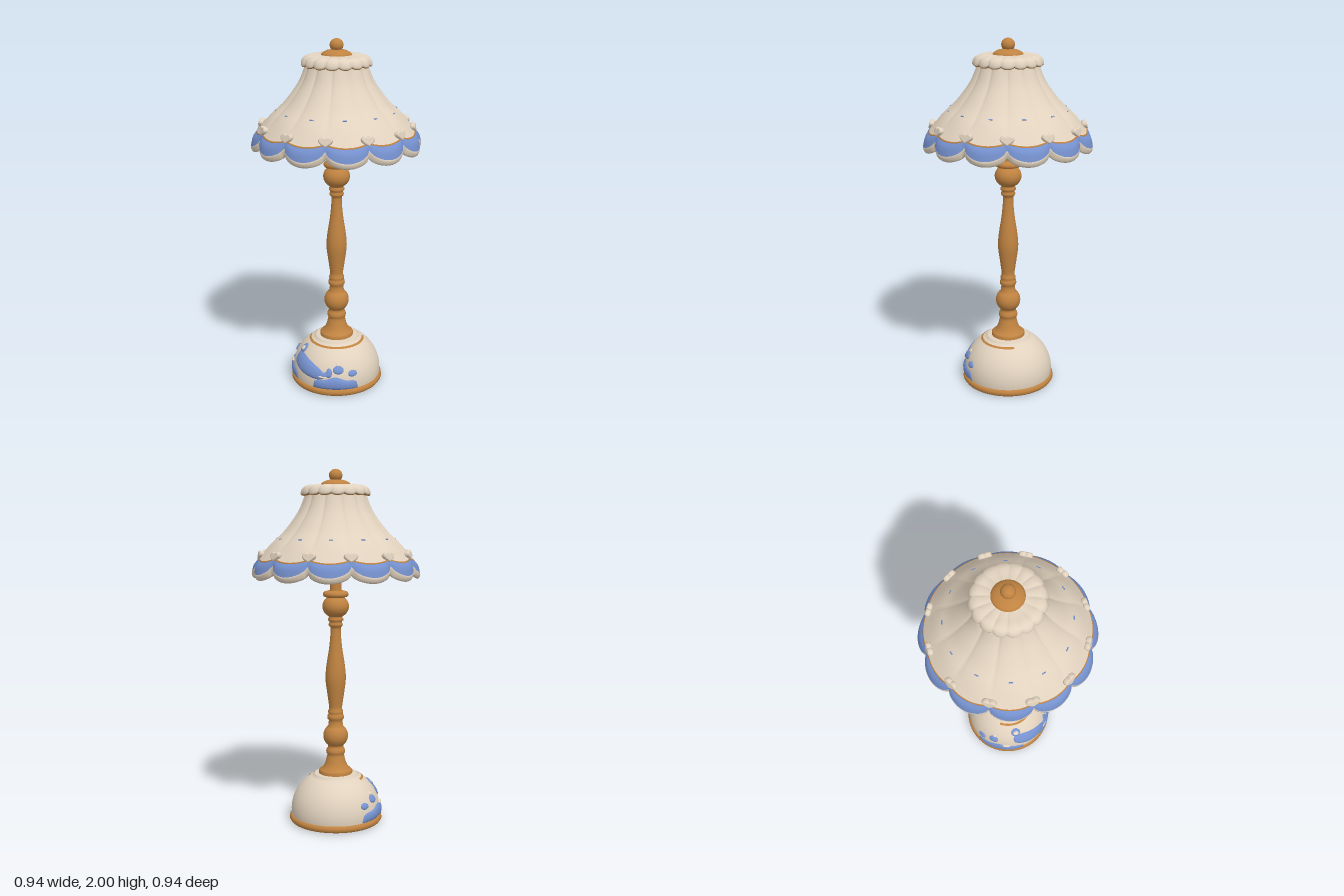
import * as THREE from 'three';

const paint = (name, color) => {
  const m = new THREE.MeshStandardMaterial({ color, side: THREE.DoubleSide });
  m.name = name;
  return m;
};
const PI = Math.PI, V2 = (p) => new THREE.Vector2(p[0], p[1]);
const smooth = (pts, n) => new THREE.SplineCurve(pts.map(V2)).getPoints(n);

export function createModel() {
  const cream = paint('cream', 0xe1d2be);
  const wood = paint('wood', 0xc08341);
  const blue = paint('blue', 0x7591ce);
  const model = new THREE.Group();

  const add = (name, geo, mat, parent = model) => {
    const mesh = new THREE.Mesh(geo, mat);
    mesh.name = name;
    parent.add(mesh);
    return mesh;
  };
  const lathe = (name, pts, mat, n = 48) => add(name, new THREE.LatheGeometry(pts.map(V2), n), mat);

  // Sweeps a profile that may change with the angle; angle 0 faces the front.
  // A full turn is closed without a seam.
  function sweep(name, mat, profile, nu, a0 = 0, a1 = a0 + 2 * PI, parent = model) {
    const pos = [], idx = [];
    const cols = a1 - a0 > 6.28 ? nu : nu + 1;
    let rows = 0;
    for (let i = 0; i < cols; i++) {
      const a = a0 + (a1 - a0) * i / nu;
      const pts = profile(a, i / nu);
      rows = pts.length;
      for (const p of pts) pos.push(p.x * Math.sin(a), p.y, p.x * Math.cos(a));
    }
    for (let i = 0; i < nu; i++) for (let j = 0; j < rows - 1; j++) {
      const p = i * rows + j, q = ((i + 1) % cols) * rows + j;
      idx.push(p, p + 1, q, q, p + 1, q + 1);
    }
    const geo = new THREE.BufferGeometry();
    geo.setAttribute('position', new THREE.Float32BufferAttribute(pos, 3));
    geo.setIndex(idx);
    geo.computeVertexNormals();
    return add(name, geo, mat, parent);
  }

  // ---- Base: wooden foot, glazed dome, collar ----
  lathe('footRim', [[0, 0.003], [0.24, 0.003], [0.258, 0.008], [0.266, 0.02], [0.264, 0.034], [0.256, 0.044], [0.23, 0.046]], wood, 64);
  const domeR = (y) => 0.255 * Math.sqrt(1 - ((y - 0.07) / 0.235) ** 2);
  const domePts = [];
  for (let i = 0; i <= 20; i++) { const y = 0.04 + 0.222 * i / 20; domePts.push([domeR(y), y]); }
  lathe('baseDome', [...domePts, [0.128, 0.266], [0.128, 0.276], [0.118, 0.282], [0.08, 0.281]], cream, 64);
  sweep('shoulderLine', wood, () => [0.263, 0.255].map((y) => new THREE.Vector2(domeR(y) + 0.002, y)), 40, -0.9, 2.6);

  // ---- Turned wooden stem ----
  const stem = [[0.096, 0.275], [0.096, 0.297], [0.09, 0.303], [0.072, 0.316], [0.058, 0.345], [0.05, 0.38], [0.047, 0.392],
    [0.052, 0.397], [0.055, 0.41], [0.051, 0.424], [0.045, 0.43], [0.045, 0.44]];
  for (let i = 0; i <= 10; i++) { const a = -0.88 + 1.8 * i / 10; stem.push([0.071 * Math.cos(a), 0.5 + 0.071 * Math.sin(a)]); }
  stem.push([0.04, 0.578], [0.039, 0.592], [0.046, 0.598], [0.048, 0.61], [0.045, 0.622], [0.04, 0.626],
    [0.043, 0.635], [0.043, 0.645], [0.037, 0.655]);
  for (const p of smooth([[0.037, 0.67], [0.047, 0.74], [0.058, 0.83], [0.052, 0.91], [0.038, 1.0], [0.03, 1.08], [0.029, 1.125]], 20)) stem.push([p.x, p.y]);
  stem.push([0.038, 1.132], [0.041, 1.142], [0.036, 1.15], [0.036, 1.158], [0.043, 1.164], [0.043, 1.174], [0.036, 1.182]);
  for (let i = 0; i <= 10; i++) { const a = -1.0 + 1.85 * i / 10; stem.push([0.075 * Math.cos(a), 1.243 + 0.066 * Math.sin(a)]); }
  stem.push([0.052, 1.294], [0.066, 1.298], [0.072, 1.306], [0.072, 1.316], [0.065, 1.326], [0.045, 1.331], [0.033, 1.335], [0.033, 1.91]);
  lathe('stem', stem, wood, 40);

  // ---- Relief pictures on the dome ----
  const relief = new THREE.Group();
  relief.name = 'seaRelief';
  model.add(relief);
  const patch = (name, mat, a0, a1, top, bottom, bump = 0.01, lift = 0) =>
    sweep(name, mat, (a, u) => {
      const pts = [], t = top(u), b = bottom(u);
      for (let j = 0; j <= 8; j++) {
        const v = j / 8, y = t + (b - t) * v;
        const h = Math.pow(Math.max(0, Math.sin(PI * u) * Math.sin(PI * v)), 0.4);
        pts.push(new THREE.Vector2(domeR(y) + 0.002 + lift + bump * h, y));
      }
      return pts;
    }, 28, a0, a1, relief);
  const round = (u) => Math.sqrt(Math.max(0, 1 - (2 * u - 1) ** 2));
  const blob = (name, mat, a, y, w, h, bump, lift, slope = 0) =>
    patch(name, mat, a - w, a + w, (u) => y + slope * (u - 0.5) + h * round(u), (u) => y + slope * (u - 0.5) - h * round(u), bump, lift);

  // Whale with tail and spout
  const bodyMid = (u) => 0.174 - 0.05 * u;
  const bodyHalf = (u) => 0.047 * (1 - 0.2 * u) * Math.pow(round(u), 0.6);
  patch('whaleBody', blue, -0.41, 0.62, (u) => bodyMid(u) + bodyHalf(u), (u) => bodyMid(u) - bodyHalf(u), 0.013);
  blob('whaleTail', blue, 0.63, 0.128, 0.14, 0.017, 0.011, 0, 0.03);
  blob('whaleFluke', blue, 0.74, 0.143, 0.07, 0.026, 0.01, 0);
  blob('spout', blue, -0.31, 0.221, 0.15, 0.021, 0.011, 0.001);
  blob('spoutFoam', cream, -0.31, 0.223, 0.09, 0.012, 0.01, 0.006);
  // Waves, foam and small floats on both sides
  for (const [s, a0, a1] of [[-1, -1.4, -0.13], [1, 0.36, 1.42]]) {
    const crest = (u) => 0.05 + 0.072 * Math.pow(round(u), 0.7) * (0.9 + 0.1 * Math.cos(u * 4 * PI));
    patch('wave', blue, a0, a1, crest, () => 0.046, 0.011);
    blob('waveFoam', cream, s * 0.6, 0.121, 0.11, 0.007, 0.011, 0.003);
    blob('floatBody', blue, s * 0.96, 0.161, 0.13, 0.022, 0.011, 0);
    blob('floatTop', cream, s * 0.96, 0.189, 0.06, 0.009, 0.008, 0);
    blob('splash', blue, s * 1.3, 0.138, 0.11, 0.018, 0.01, 0);
  }

  // ---- Shade: twelve gathered panels ----
  const shade = new THREE.Group();
  shade.name = 'shade';
  model.add(shade);
  const N = 12, step = 2 * PI / N, half = step / 2;
  const lobe = (a) => Math.pow(Math.abs(Math.cos(6 * a)), 0.6);
  const bandTop = (L) => [0.421 + 0.012 * L, 1.526 - 0.024 * L];
  const bandLow = (L) => [0.435 + 0.034 * L, 1.486 - 0.055 * L];
  const all = (name, mat, profile) => sweep(name, mat, profile, 192, half, half + 2 * PI, shade);

  all('shadePanels', cream, (a) => {
    const L = lobe(a), g = 0.01 * (1 - L);
    return smooth([[0.164, 1.885], [0.177 - g, 1.84], [0.213 - g, 1.76], [0.288 - g, 1.66], [0.362 - g, 1.59], bandTop(L)], 20);
  });
  all('goldLine', wood, (a) => {
    const [r, y] = bandTop(lobe(a));
    return smooth([[r - 0.001, y + 0.003], [r + 0.003, y + 0.001], [r + 0.004, y - 0.004]], 4);
  });
  all('scallopBand', blue, (a) => {
    const L = lobe(a), t = bandTop(L), b = bandLow(L);
    return smooth([t, [(t[0] + b[0]) / 2 + 0.007 * L, (t[1] + b[1]) / 2 + 0.008 * L], b], 6);
  });
  all('scallopRim', cream, (a) => {
    const L = lobe(a), b = bandLow(L), low = 1.444 - 0.041 * L;
    return smooth([b, [b[0] + 0.001, b[1] - 0.01], [b[0] - 0.007, low], [b[0] - 0.023, low + 0.002],
      [0.409, 1.46], [0.386, 1.515]], 14);
  });

  // Lining, painted panel by panel
  for (let k = 0; k < N; k++) {
    const a0 = half + k * step;
    const lining = (name, mat, pts) => sweep(name, mat, (a) =>
      smooth(pts.map(([r, y]) => [r - 0.006 * (1 - lobe(a)), y]), 8), 8, a0, a0 + step, shade);
    const plain = k === 7 || k === 8;
    lining('liningLower', plain ? wood : blue, [[0.392, 1.51], [0.362, 1.555], [0.32, 1.605]]);
    lining('liningUpper', k === 9 ? blue : k === 10 || k === 4 ? cream : wood, [[0.32, 1.605], [0.258, 1.66], [0.185, 1.76], [0.147, 1.87]]);
  }

  // Hearts at the seams and flecks on the panels
  const heart = new THREE.Shape();
  heart.moveTo(0, -0.018);
  heart.bezierCurveTo(-0.016, -0.008, -0.034, 0.002, -0.028, 0.012);
  heart.bezierCurveTo(-0.022, 0.022, -0.004, 0.02, 0, 0.009);
  heart.bezierCurveTo(0.004, 0.02, 0.022, 0.022, 0.028, 0.012);
  heart.bezierCurveTo(0.034, 0.002, 0.016, -0.008, 0, -0.018);
  const heartGeo = new THREE.ExtrudeGeometry(heart, { depth: 0.008, bevelThickness: 0.01, bevelSize: 0.008, bevelSegments: 4, curveSegments: 8 });
  const fleckGeo = new THREE.BoxGeometry(0.022, 0.006, 0.006);
  for (let k = 0; k < N; k++) {
    const place = (mesh, a, r, y, tilt) => {
      mesh.position.set(r * Math.sin(a), y, r * Math.cos(a));
      mesh.rotation.set(tilt, a, 0, 'YXZ');
    };
    place(add('seamHeart', heartGeo, cream, shade), half + k * step, 0.414, 1.53, -0.25);
    place(add('fleck', fleckGeo, blue, shade), k * step, 0.33, 1.62, -0.8);
  }

  // ---- Ruffled collar on top of the shade ----
  const frill = (a) => Math.pow(Math.abs(Math.cos(8 * a)), 0.6);
  const frills = (name, mat, profile) => sweep(name, mat, profile, 160, PI / 16, PI / 16 + 2 * PI, shade);
  frills('topRuffle', cream, (a) => {
    const L = frill(a);
    return smooth([[0.07, 1.915], [0.11, 1.909 + 0.004 * L], [0.15, 1.907 + 0.006 * L], [0.172 + 0.006 * L, 1.9],
      [0.18 + 0.01 * L, 1.882], [0.181 + 0.012 * L, 1.872 - 0.008 * L], [0.176 + 0.01 * L, 1.867 - 0.01 * L], [0.16, 1.866]], 18);
  });
  frills('ruffleLine', wood, (a) => {
    const L = frill(a);
    return smooth([[0.18 + 0.01 * L, 1.868 - 0.009 * L], [0.177 + 0.009 * L, 1.865 - 0.011 * L], [0.168, 1.863 - 0.008 * L]], 4);
  });

  // ---- Cap and finial ----
  const fin = [[0.083, 1.905], [0.083, 1.916], [0.074, 1.926], [0.055, 1.936], [0.034, 1.941], [0.022, 1.943]];
  for (let i = 0; i <= 12; i++) { const a = -0.95 + (0.95 + PI / 2) * i / 12; fin.push([Math.max(0, 0.037 * Math.cos(a)), 1.965 + 0.035 * Math.sin(a)]); }
  lathe('finial', fin, wood, 40);
  return model;
}
